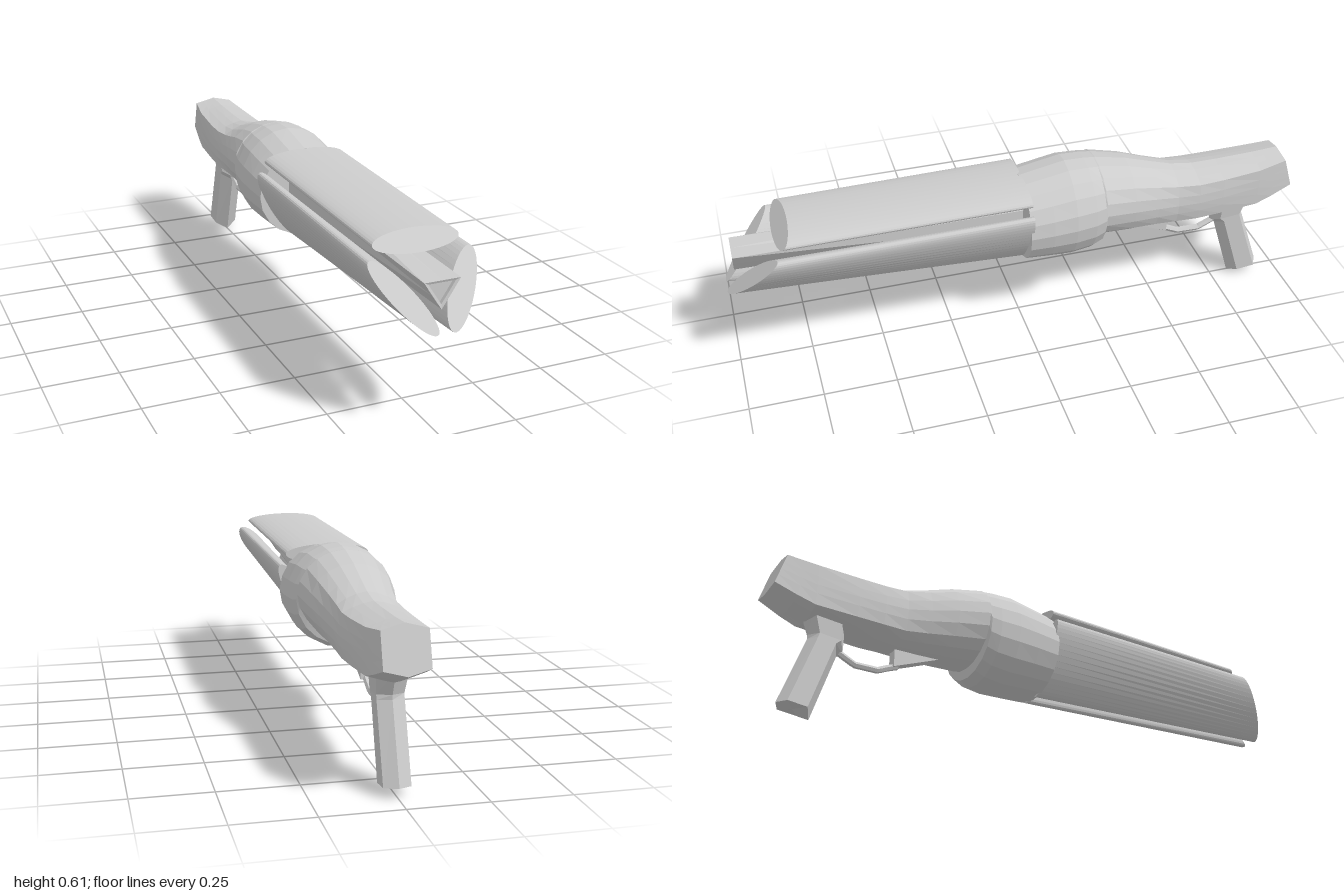
import * as THREE from 'three';

const material = new THREE.MeshStandardMaterial({ color: 0xcccccc, flatShading: true, side: THREE.DoubleSide });

// Skin between matching rings of [x, y, z] points, with both ends capped.
function loft(rings) {
  const pos = [];
  const n = rings[0].length;
  const tri = (a, b, c) => pos.push(...a, ...b, ...c);
  for (let k = 0; k < rings.length - 1; k++) {
    const r0 = rings[k], r1 = rings[k + 1];
    for (let i = 0; i < n; i++) {
      const j = (i + 1) % n;
      tri(r0[i], r0[j], r1[j]);
      tri(r0[i], r1[j], r1[i]);
    }
  }
  const centre = (r) => [0, 1, 2].map((c) => r.reduce((s, p) => s + p[c], 0) / n);
  const first = rings[0], last = rings[rings.length - 1];
  const c0 = centre(first), c1 = centre(last);
  for (let i = 0; i < n; i++) {
    const j = (i + 1) % n;
    tri(c0, first[j], first[i]);
    tri(c1, last[i], last[j]);
  }
  const g = new THREE.BufferGeometry();
  g.setAttribute('position', new THREE.Float32BufferAttribute(pos, 3));
  g.computeVertexNormals();
  return g;
}

// Body angles include the corners of the ridged hexagon used at the rear.
const quarter = [0, 18, 36, 53.13, 72];
const bodyAngles = [];
for (let q = 0; q < 4; q++) {
  for (let i = 0; i < 5; i++) {
    bodyAngles.push(q % 2 === 0 ? q * 90 + quarter[i] : q * 90 + (i === 0 ? 0 : 90 - quarter[5 - i]));
  }
}

// Cross-section that blends from an ellipse (hex = 0) to a ridged hexagon (hex = 1).
function bodyRing([z, top, bottom, halfWidth, hex, tilt = 0]) {
  const cy = (top + bottom) / 2, h = (top - bottom) / 2;
  return bodyAngles.map((deg) => {
    const a = THREE.MathUtils.degToRad(deg);
    const s = -Math.sin(a), c = Math.cos(a);
    const rHex = Math.min(1 / Math.max(Math.abs(s), 1e-6), 1 / (Math.abs(c) + 0.25 * Math.abs(s)));
    const r = THREE.MathUtils.lerp(1, rHex, hex);
    return [s * r * halfWidth, cy + c * r * h, z + tilt * c * r * h];
  });
}

// The muzzle ends are all cut by one sloping plane.
const muzzleZ = (y) => 1 - 0.917 * (y - 0.335);

function ellipseRing(cx, cy, a, b, angle, zOf) {
  const n = 40, ring = [];
  for (let i = 0; i < n; i++) {
    const t = (i / n) * Math.PI * 2;
    const u = a * Math.cos(t), v = b * Math.sin(t);
    const y = cy + u * Math.sin(angle) + v * Math.cos(angle);
    ring.push([cx + u * Math.cos(angle) - v * Math.sin(angle), y, zOf(y)]);
  }
  return ring;
}

// Ridged hexagonal slice of the grip, from front ridge to back ridge.
function gripRing([zf, yf, zb, yb, w]) {
  const at = (x, tz, ty) => [x, THREE.MathUtils.lerp(yf, yb, ty), THREE.MathUtils.lerp(zf, zb, tz)];
  return [at(0, 0, 0), at(w, 0.2, 0.7), at(w, 0.8, 0.9), at(0, 1, 1), at(-w, 0.8, 0.9), at(-w, 0.2, 0.7)];
}

export function createModel() {
  const model = new THREE.Group();
  const add = (name, geometry) => {
    const mesh = new THREE.Mesh(geometry, material);
    mesh.name = name;
    model.add(mesh);
    return mesh;
  };

  // Body and stock: z, top, bottom, half width, hexagon blend, tilt
  add('body', loft([
    [-0.978, 0.528, 0.385, 0.07, 1, 0.31],
    [-0.91, 0.524, 0.352, 0.08, 0.95, 0.15],
    [-0.86, 0.522, 0.33, 0.087, 0.9],
    [-0.72, 0.518, 0.32, 0.1, 0.7],
    [-0.63, 0.518, 0.315, 0.106, 0.6],
    [-0.55, 0.53, 0.31, 0.108, 0.4],
    [-0.47, 0.555, 0.312, 0.122, 0.2],
    [-0.38, 0.585, 0.316, 0.141, 0.1],
    [-0.27, 0.609, 0.325, 0.158, 0],
    [-0.265, 0.609, 0.292, 0.161, 0],
    [-0.23, 0.613, 0.274, 0.168, 0],
    [-0.16, 0.615, 0.265, 0.174, 0],
    [-0.08, 0.6, 0.27, 0.172, 0],
    [0, 0.585, 0.275, 0.166, 0],
  ].map(bodyRing)));

  // Flat oval barrels around the core
  add('topBarrel', loft([
    ellipseRing(0, 0.552, 0.145, 0.032, 0, () => -0.01),
    ellipseRing(0, 0.5455, 0.14, 0.029, 0, muzzleZ),
  ]));
  for (const side of [1, -1]) {
    const back = ellipseRing(side * 0.095, 0.395, 0.14, 0.035, side * Math.PI / 3, () => -0.01);
    const front = ellipseRing(side * 0.0945, 0.424, 0.115, 0.035, side * 0.885, muzzleZ);
    add(side > 0 ? 'leftBarrel' : 'rightBarrel', loft([back, front]));
  }

  // Central core, hexagonal at the body and triangular at the tip
  const hexagon = [[0, 0.51], [-0.06, 0.48], [-0.06, 0.415], [0, 0.375], [0.06, 0.415], [0.06, 0.48]];
  const triangle = [[0, 0.484], [-0.058, 0.484], [-0.03, 0.44], [0, 0.395], [0.03, 0.44], [0.058, 0.484]];
  const inset = triangle.map(([x, y]) => [x * 0.75, 0.455 + (y - 0.455) * 0.75]);
  const atZ = (ring, z) => ring.map(([x, y]) => [x, y, z]);
  add('core', loft([atZ(hexagon, -0.01), atZ(triangle, 0.97), atZ(inset, 0.967), atZ(inset, 0.955)]));

  // Grip: front z, front y, back z, back y, half width
  add('grip', loft([
    [-0.82, 0.003, -0.93, 0.037, 0.042],
    [-0.745, 0.24, -0.847, 0.275, 0.042],
    [-0.724, 0.255, -0.847, 0.29, 0.042],
    [-0.722, 0.345, -0.88, 0.37, 0.05],
  ].map(gripRing)));

  // Trigger housing wedge under the body
  const wedge = new THREE.Shape([[0.39, 0.34], [0.39, 0.318], [0.55, 0.252], [0.55, 0.34]]
    .map(([x, y]) => new THREE.Vector2(x, y)));
  const housing = new THREE.ExtrudeGeometry(wedge, { depth: 0.036, bevelEnabled: false });
  housing.translate(0, 0, -0.018).rotateY(Math.PI / 2);
  add('triggerHousing', housing);

  // Trigger guard as a thin square bar
  const guardPath = new THREE.CurvePath();
  const guardPoints = [[0.53, 0.262], [0.56, 0.25], [0.6, 0.231], [0.68, 0.229], [0.715, 0.245], [0.75, 0.262]]
    .map(([z, y]) => new THREE.Vector3(0, y, -z));
  for (let i = 0; i < guardPoints.length - 1; i++) {
    guardPath.add(new THREE.LineCurve3(guardPoints[i], guardPoints[i + 1]));
  }
  add('triggerGuard', new THREE.TubeGeometry(guardPath, 24, 0.011, 6, false));

  return model;
}
